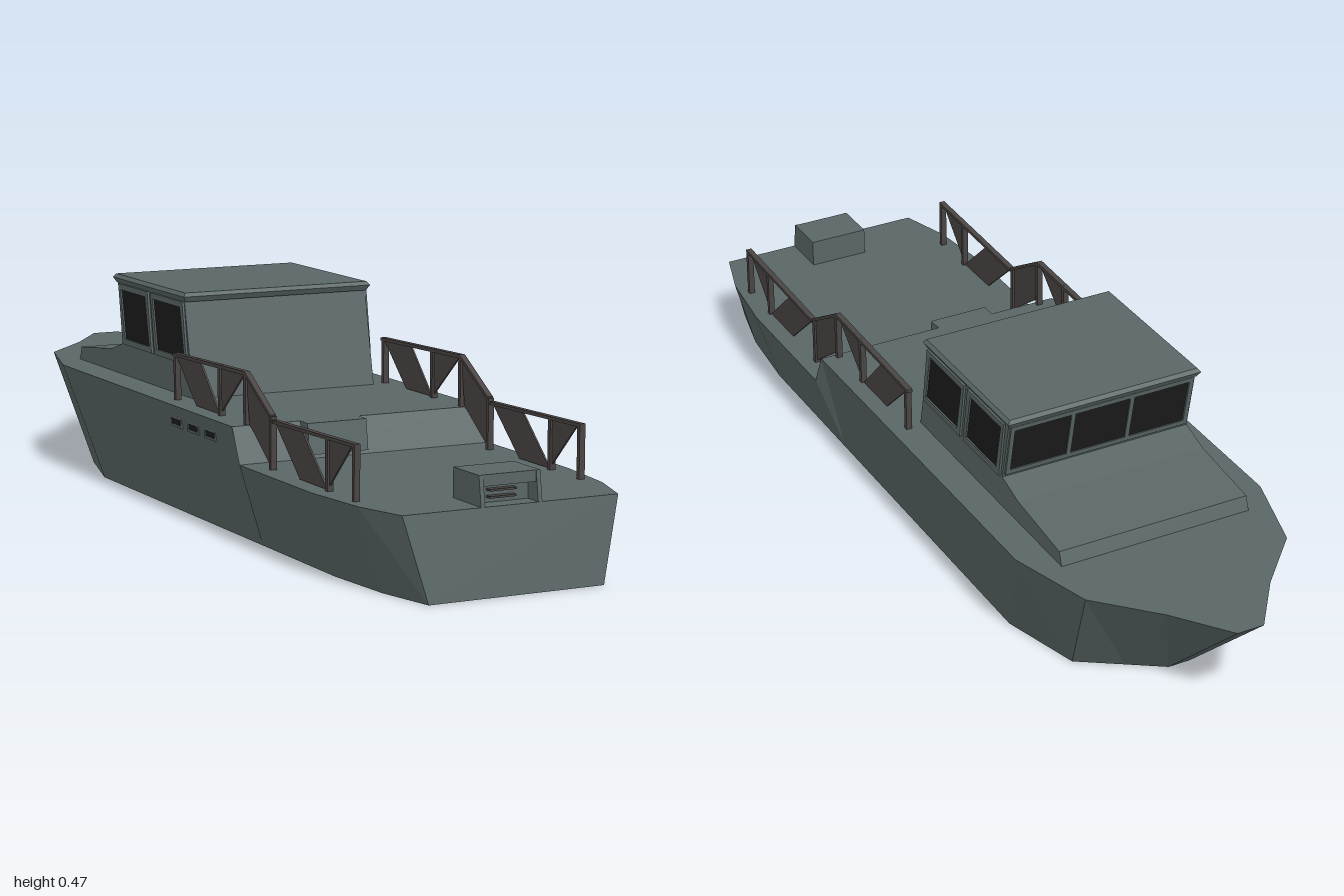
import * as THREE from 'three';

const paint = (color) => new THREE.MeshStandardMaterial({ color, flatShading: true, side: THREE.DoubleSide });
const grey = paint(0x5a6666), canvas = paint(0x4a4444), glass = paint(0x1c1c1c);

export function createModel() {
  const model = new THREE.Group();

  const add = (name, geometry, material = grey) => {
    const mesh = new THREE.Mesh(geometry, material);
    mesh.name = name;
    model.add(mesh);
    return mesh;
  };

  const box = (name, x0, x1, y0, y1, z0, z1, material) => {
    const g = new THREE.BoxGeometry(x1 - x0, y1 - y0, z1 - z0);
    add(name, g.translate((x0 + x1) / 2, (y0 + y1) / 2, (z0 + z1) / 2), material);
  };

  // Side profile of [z, y] points, extruded across the beam from x0 to x1
  const toPoints = (list) => list.map(([z, y]) => new THREE.Vector2(z, y));
  const slab = (name, points, x0, x1, material, hole) => {
    const shape = new THREE.Shape(toPoints(points));
    if (hole) shape.holes.push(new THREE.Path(toPoints(hole)));
    const g = new THREE.ExtrudeGeometry(shape, { depth: x1 - x0, bevelEnabled: false });
    add(name, g.rotateY(-Math.PI / 2).translate(x1, 0, 0), material);
  };

  // Capped loft through four-cornered rings
  const loft = (name, rings) => {
    const index = [];
    for (let i = 0; i < rings.length - 1; i++) {
      for (let j = 0; j < 4; j++) {
        const k = (j + 1) % 4, a = i * 4 + j, b = i * 4 + k, c = b + 4, d = a + 4;
        index.push(a, b, c, a, c, d);
      }
    }
    const e = (rings.length - 1) * 4;
    index.push(0, 2, 1, 0, 3, 2, e, e + 1, e + 2, e, e + 2, e + 3);
    const g = new THREE.BufferGeometry();
    g.setAttribute('position', new THREE.Float32BufferAttribute(rings.flat(2), 3));
    g.setIndex(index);
    const flat = g.toNonIndexed();
    flat.computeVertexNormals();
    add(name, flat);
  };

  // Hull stations, stern to bow: bottom z, bottom half width, deck z, deck half width, deck y
  const stations = [
    [1, 0.195, 0.975, 0.24, 0.173],
    [0.87, 0.225, 0.86, 0.275, 0.173],
    [0.7, 0.24, 0.7, 0.293, 0.173],
    [0.375, 0.24, 0.375, 0.293, 0.173],
    [0.34, 0.24, 0.34, 0.293, 0.247],
    [-0.45, 0.24, -0.57, 0.29, 0.247],
    [-0.63, 0.19, -0.76, 0.235, 0.247],
    [-0.69, 0.1, -0.88, 0.12, 0.247],
    [-0.74, 0.025, -1, 0.03, 0.247],
  ];
  loft('hull', stations.map(([zb, xb, zd, xd, yd]) =>
    [[-xb, 0, zb], [-xd, yd, zd], [xd, yd, zd], [xb, 0, zb]]));

  // Hatch in the deck step
  slab('deckHatch', [[0.34, 0.182], [0.385, 0.182], [0.375, 0.247], [0.34, 0.247]], -0.137, 0);

  // Wheelhouse with the low trunk ahead of it
  slab('cabin', [[-0.005, 0.24], [-0.05, 0.455], [-0.41, 0.455], [-0.382, 0.318], [-0.45, 0.297],
    [-0.625, 0.277], [-0.638, 0.24]], -0.22, 0.22);
  const roofRing = (x, y, z0, z1) => [[-x, y, z0], [-x, y, z1], [x, y, z1], [x, y, z0]];
  loft('roof', [
    roofRing(0.22, 0.453, -0.415, -0.045),
    roofRing(0.227, 0.465, -0.422, -0.038),
    roofRing(0.221, 0.473, -0.416, -0.044),
  ]);

  // Side windows: raised frame around a dark pane
  const windowQuad = (z0, z1, inset) => {
    const lean = 0.022;
    return [[z0 - inset, 0.318 + inset], [z0 - lean - inset, 0.453 - inset],
      [z1 - lean + inset, 0.453 - inset], [z1 + inset, 0.318 + inset]];
  };
  for (const side of [-1, 1]) {
    for (const [z0, z1] of [[-0.03, -0.2], [-0.215, -0.375]]) {
      const span = (a, b) => (side > 0 ? [a, b] : [-b, -a]);
      const hole = windowQuad(z0, z1, 0.013);
      slab('sideWindowFrame', windowQuad(z0, z1, 0), ...span(0.219, 0.225), grey, hole);
      slab('sideWindowPane', hole, ...span(0.219, 0.2215), glass);
    }
  }

  // Windscreen: strips that lie on the raked front wall
  const frontZ = (y) => -0.382 - (y - 0.318) * 0.2044;
  const frontStrip = (name, x0, x1, y0, y1, out, material) =>
    slab(name, [[frontZ(y0) + 0.002, y0], [frontZ(y0) - out, y0], [frontZ(y1) - out, y1],
      [frontZ(y1) + 0.002, y1]], x0, x1, material);
  for (const x of [-0.139, 0, 0.139]) frontStrip('windscreenPane', x - 0.066, x + 0.066, 0.335, 0.44, 0.002, glass);
  for (const x of [-0.211, -0.0695, 0.0695, 0.211]) frontStrip('windscreenPost', x - 0.005, x + 0.005, 0.325, 0.452, 0.005);
  for (const y of [0.325, 0.441]) frontStrip('windscreenRail', -0.21, 0.21, y, y + 0.011, 0.005);

  // Railings with canvas panels, both sides
  const panels = [
    [[0.8, 0.28], [0.7, 0.28], [0.7, 0.18]],
    [[0.695, 0.175], [0.575, 0.175], [0.465, 0.272], [0.585, 0.275]],
    [[0.45, 0.175], [0.45, 0.285], [0.33, 0.355], [0.345, 0.25]],
    [[0.325, 0.355], [0.21, 0.355], [0.21, 0.255]],
    [[0.2, 0.249], [0.085, 0.249], [-0.015, 0.342], [0.1, 0.352]],
  ];
  const rails = [
    [[0.818, 0.279], [0.818, 0.286], [0.46, 0.277], [0.46, 0.27]],
    [[0.45, 0.278], [0.45, 0.286], [0.33, 0.358], [0.33, 0.35]],
    [[0.33, 0.35], [0.33, 0.358], [-0.025, 0.348], [-0.025, 0.341]],
  ];
  const posts = [[0.813, 0.17, 0.283], [0.7, 0.17, 0.281], [0.45, 0.17, 0.283],
    [0.33, 0.245, 0.355], [0.207, 0.245, 0.353], [-0.015, 0.245, 0.345]];
  for (const x of [-0.2535, 0.2535]) {
    for (const p of panels) slab('railCanvas', p, x - 0.002, x + 0.002, canvas);
    for (const r of rails) slab('handRail', r, x - 0.0065, x + 0.0065, canvas);
    for (const [z, y0, y1] of posts) box('railPost', x - 0.0065, x + 0.0065, y0, y1, z - 0.005, z + 0.005, canvas);
  }

  // Stern locker with an open, slatted face
  const locker = [[0.865, 0.165], [0.865, 0.234], [0.965, 0.234], [0.975, 0.17]];
  slab('lockerCheek', locker, -0.068, -0.059);
  slab('lockerCheek', locker, 0.059, 0.068);
  box('lockerBody', -0.06, 0.06, 0.165, 0.234, 0.865, 0.935);
  box('lockerTop', -0.06, 0.06, 0.211, 0.234, 0.93, 0.964);
  for (const y of [0.183, 0.197]) box('lockerSlat', -0.035, 0.025, y, y + 0.004, 0.93, 0.95, canvas);

  // Vent slots in one side of the hull
  for (const z of [0.05, 0.135, 0.22]) {
    box('ventFrame', -0.287, -0.27, 0.2, 0.222, z - 0.026, z + 0.026);
    box('ventSlot', -0.288, -0.27, 0.205, 0.217, z - 0.02, z + 0.02, glass);
  }
  return model;
}
